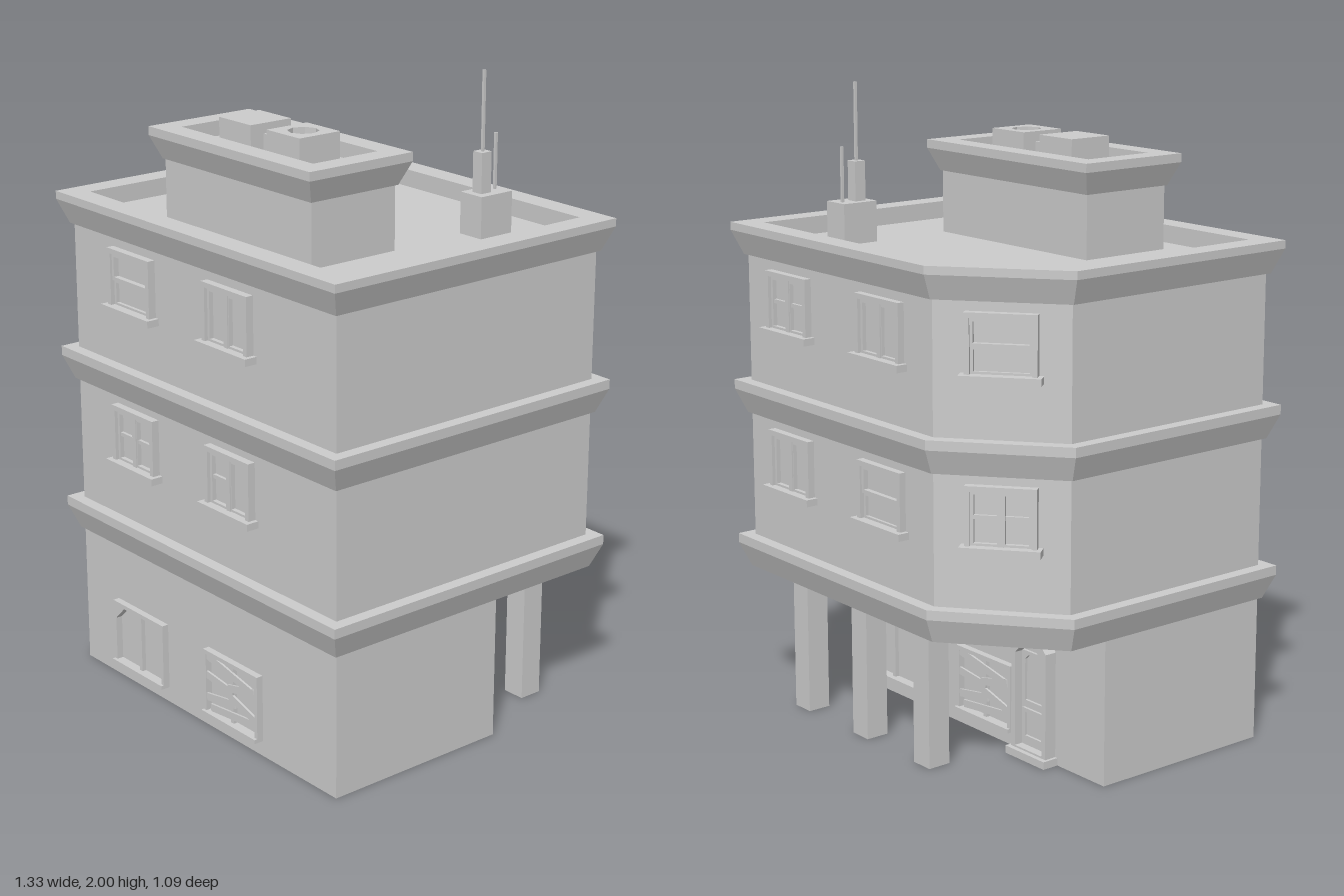
import * as THREE from 'three';

const mat = new THREE.MeshStandardMaterial({ color: 0xcccccc, flatShading: true });

function add(parent, name, geo, x = 0, y = 0, z = 0) {
  const m = new THREE.Mesh(geo, mat);
  m.name = name;
  m.position.set(x, y, z);
  parent.add(m);
  return m;
}

// Box given by its min and max corners
function block(parent, name, x0, x1, y0, y1, z0, z1) {
  return add(parent, name, new THREE.BoxGeometry(x1 - x0, y1 - y0, z1 - z0),
    (x0 + x1) / 2, (y0 + y1) / 2, (z0 + z1) / 2);
}

// Move every edge of a convex [x, z] footprint outward by d
function offset(poly, d) {
  const n = poly.length;
  const normal = (i) => {
    const a = poly[i % n], b = poly[(i + 1) % n];
    const dx = b[0] - a[0], dz = b[1] - a[1], l = Math.hypot(dx, dz);
    return [-dz / l, dx / l];
  };
  return poly.map((p, i) => {
    const a = normal(i + n - 1), b = normal(i);
    const k = d / (1 + a[0] * b[0] + a[1] * b[1]);
    return [p[0] + (a[0] + b[0]) * k, p[1] + (a[1] + b[1]) * k];
  });
}

// Sweep a profile of [offset, y] around a footprint and cap both ends
function loft(poly, profile) {
  const rings = profile.map(([d, y]) => offset(poly, d).map(([x, z]) => [x, y, z]));
  const n = poly.length, v = [];
  const tri = (...pts) => pts.forEach((p) => v.push(...p));
  for (let r = 0; r < rings.length - 1; r++) {
    const a = rings[r], b = rings[r + 1];
    for (let i = 0; i < n; i++) {
      const j = (i + 1) % n;
      tri(a[i], a[j], b[j]);
      tri(a[i], b[j], b[i]);
    }
  }
  const lo = rings[0], hi = rings[rings.length - 1];
  for (let i = 1; i < n - 1; i++) {
    tri(lo[0], lo[i + 1], lo[i]);
    tri(hi[0], hi[i], hi[i + 1]);
  }
  const g = new THREE.BufferGeometry();
  g.setAttribute('position', new THREE.Float32BufferAttribute(v, 3));
  g.computeVertexNormals();
  return g;
}

// Rectangle outline from the bottom centre, with optional cut upper corners
function outline(w, y0, y1, c = 0) {
  const p = [[-w / 2, y0], [w / 2, y0], [w / 2, y1 - c]];
  if (c) p.push([w / 2 - c, y1], [-w / 2 + c, y1]);
  else p.push([w / 2, y1]);
  p.push([-w / 2, y1 - c]);
  if (c) p.splice(5, 1, [-w / 2, y1 - c]);
  return p.map(([x, y]) => new THREE.Vector2(x, y));
}

function frame(w, h, border, depth, holeCut = 0, cut = 0) {
  const s = new THREE.Shape(outline(w, 0, h, cut));
  s.holes.push(new THREE.Path(outline(w - 2 * border, border, h - border, holeCut)));
  return new THREE.ExtrudeGeometry(s, { depth, bevelEnabled: false });
}

function place(parent, name, x, y, z, ry) {
  const g = new THREE.Group();
  g.name = name;
  g.position.set(x, y, z);
  g.rotation.y = ry;
  parent.add(g);
  return g;
}

// Upper window: 'stacked', 'pair', 'barred' (both panes) or 'halfBarred'
function upperWindow(parent, type, x, y, z, ry) {
  const g = place(parent, 'window', x, y, z, ry);
  add(g, 'windowFrame', frame(0.212, 0.2, 0.016, 0.025));
  block(g, 'windowSill', -0.12, 0.12, 0, 0.022, 0, 0.042);
  if (type === 'stacked') {
    add(g, 'upperSash', frame(0.184, 0.085, 0.011, 0.018), 0, 0.1, 0);
    add(g, 'lowerSash', frame(0.184, 0.085, 0.011, 0.011), 0, 0.018, 0);
    return;
  }
  for (const s of [-1, 1]) {
    add(g, 'sash', frame(0.093, 0.168, 0.012, 0.014), s * 0.046, 0.017, 0);
    if (type === 'barred' || (type === 'halfBarred' && s < 0))
      block(g, 'sashBar', s * 0.046 - 0.04, s * 0.046 + 0.04, 0.1, 0.112, 0, 0.01);
  }
  block(g, 'mullion', -0.009, 0.009, 0.016, 0.184, 0, 0.018);
}

// Shop window with cut upper corners, optionally boarded up
function shopWindow(parent, boarded, x, z, ry) {
  const g = place(parent, 'groundWindow', x, 0.05, z, ry);
  add(g, 'windowFrame', frame(0.264, 0.215, 0.013, 0.022, boarded ? 0 : 0.045));
  block(g, 'windowSill', -0.132, 0.132, 0, 0.013, 0, 0.032);
  block(g, 'mullion', -0.007, 0.007, 0.013, 0.202, 0, 0.014);
  if (!boarded) return;
  // Crooked planks: height, tilt, centre, length
  for (const [py, tilt, px, len] of [[0.175, -0.2, -0.01, 0.22], [0.14, 0.22, 0.05, 0.13],
    [0.125, -0.12, -0.055, 0.13], [0.085, -0.28, 0.05, 0.14], [0.07, 0.16, -0.05, 0.14],
    [0.04, 0.1, 0.01, 0.22]]) {
    const p = add(g, 'plank', new THREE.BoxGeometry(len, 0.024, 0.007), px, py, 0.016);
    p.rotation.z = tilt;
  }
}

function door(parent, x, z, ry) {
  const g = place(parent, 'door', x, 0.012, z, ry);
  add(g, 'doorFrame', frame(0.16, 0.36, 0.018, 0.04, 0.025, 0.015));
  block(g, 'doorLeaf', -0.065, 0.065, 0, 0.345, 0, 0.012);
  add(g, 'upperPanel', frame(0.1, 0.17, 0.012, 0.01, 0.015), 0, 0.155, 0.01);
  add(g, 'lowerPanel', frame(0.1, 0.1, 0.012, 0.01), 0, 0.04, 0.01);
  block(g, 'doorStep', -0.09, 0.09, -0.012, 0.012, 0, 0.055);
}

export function createModel() {
  const root = new THREE.Group();
  root.name = 'building';
  const plan = [[-0.625, 0.505], [0.63, 0.505], [0.63, -0.497], [-0.315, -0.508], [-0.625, -0.255]];

  // Walls: recessed ground floor and two storeys with a cut corner
  block(root, 'groundFloor', -0.625, 0.63, 0, 0.46, -0.12, 0.505);
  add(root, 'upperWalls', loft(plan, [[0, 0.456], [0, 1.5]]));

  // Flared cornices; the top one forms the roof parapet
  for (const y of [0.455, 0.96])
    add(root, 'cornice', loft(plan, [[0.01, y], [0.039, y + 0.075], [0.039, y + 0.105], [0, y + 0.105]]));
  add(root, 'roofParapet', loft(plan,
    [[0.01, 1.465], [0.039, 1.54], [0.039, 1.565], [-0.037, 1.565], [-0.037, 1.51]]));

  // Pillars under the overhang
  for (const x of [-0.155, 0.158, 0.472])
    block(root, 'pillar', x - 0.038, x + 0.038, 0, 0.46, -0.436, -0.36);

  // Roof house with its own parapet
  const house = [[-0.315, 0.378], [0.37, 0.378], [0.37, 0.068], [-0.315, 0.068]];
  add(root, 'roofHouse', loft(house, [[0, 1.505], [0, 1.74]]));
  add(root, 'roofHouseParapet', loft(house,
    [[0.006, 1.705], [0.035, 1.775], [0.035, 1.802], [-0.036, 1.802], [-0.036, 1.755]]));

  // Ventilation units: plain box, duct, box with an octagonal fan well
  block(root, 'ventBox', -0.157, -0.007, 1.75, 1.846, 0.145, 0.295);
  block(root, 'ventDuct', -0.01, 0.07, 1.75, 1.815, 0.192, 0.248);
  const top = new THREE.Shape(outline(0.15, -0.075, 0.075));
  top.holes.push(new THREE.Path(Array.from({ length: 8 }, (_, i) =>
    new THREE.Vector2(0.047 * Math.cos(i * Math.PI / 4), 0.047 * Math.sin(i * Math.PI / 4)))));
  const fanBox = new THREE.ExtrudeGeometry(top, { depth: 0.096, bevelEnabled: false });
  add(root, 'fanBox', fanBox.rotateX(-Math.PI / 2), 0.142, 1.75, 0.22);
  add(root, 'fanFloor', new THREE.CylinderGeometry(0.05, 0.05, 0.06, 8), 0.142, 1.785, 0.22);

  // Antenna
  block(root, 'antennaBase', 0.35, 0.44, 1.505, 1.637, -0.33, -0.207);
  block(root, 'antennaBox', 0.375, 0.413, 1.63, 1.76, -0.269, -0.231);
  block(root, 'antennaMast', 0.391, 0.399, 1.75, 2, -0.254, -0.246);
  block(root, 'antennaRod', 0.385, 0.393, 1.63, 1.807, -0.312, -0.304);

  // Upper windows: front, back and cut corner
  const back = Math.PI, corner = Math.atan2(-0.253, -0.31);
  for (const [type, x, y, z, ry] of [
    ['stacked', -0.313, 1.235, 0.505, 0], ['pair', 0.158, 1.235, 0.505, 0],
    ['barred', -0.313, 0.733, 0.505, 0], ['halfBarred', 0.158, 0.733, 0.505, 0],
    ['barred', 0.395, 1.235, -0.499, back], ['pair', -0.075, 1.235, -0.503, back],
    ['pair', 0.395, 0.733, -0.499, back], ['stacked', -0.075, 0.733, -0.503, back],
    ['stacked', -0.47, 1.235, -0.381, corner], ['barred', -0.47, 0.733, -0.381, corner],
  ]) upperWindow(root, type, x, y, z, ry);

  // Ground floor openings
  shopWindow(root, false, -0.315, 0.505, 0);
  shopWindow(root, true, 0.158, 0.505, 0);
  shopWindow(root, false, 0.385, -0.12, back);
  shopWindow(root, true, -0.085, -0.12, back);
  door(root, -0.325, -0.12, back);
  return root;
}
